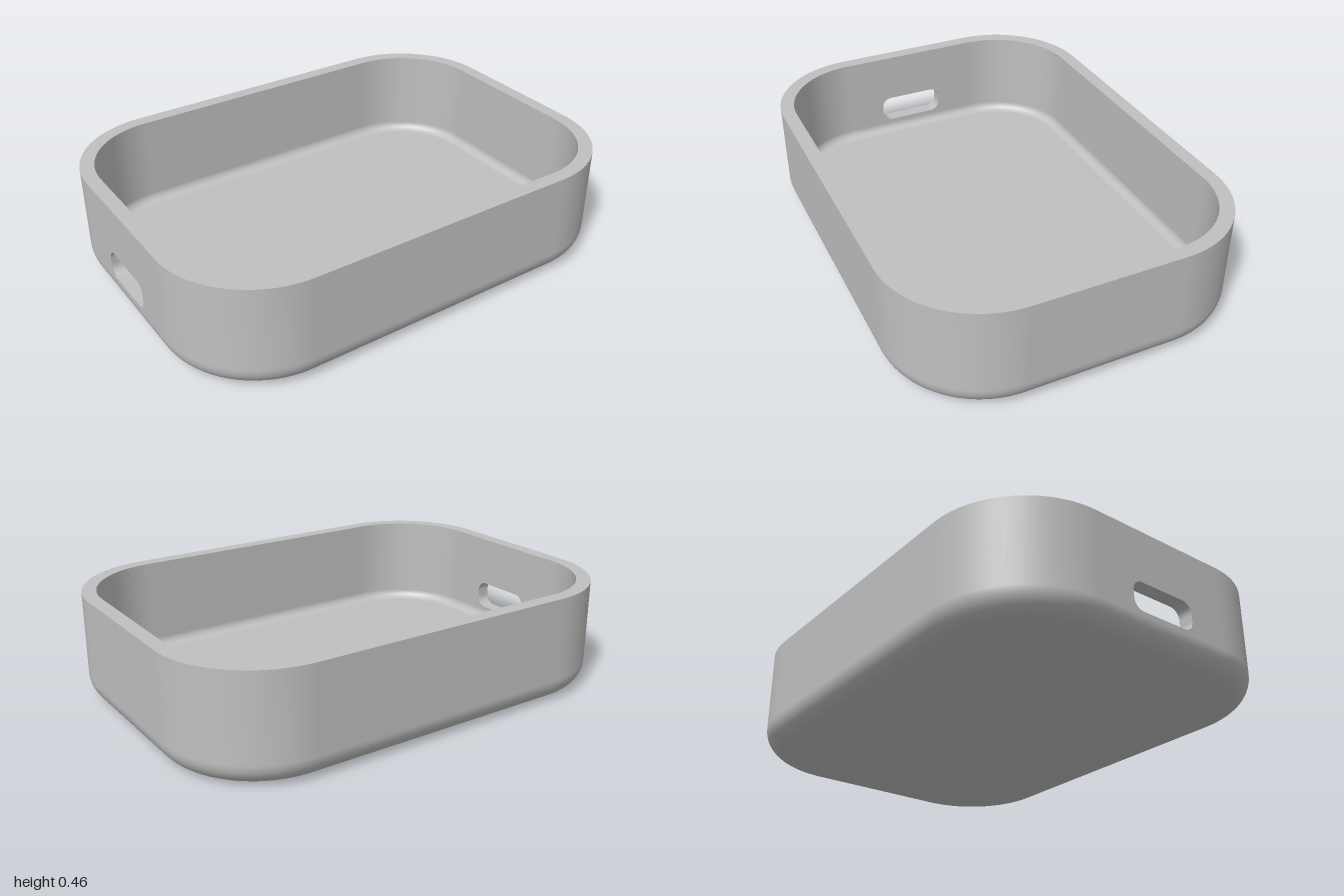
import * as THREE from 'three';
import { toCreasedNormals } from 'three/addons/utils/BufferGeometryUtils.js';

const HALF_X = 1, HALF_Z = 0.725, HEIGHT = 0.457;
const CORNER = 0.41, WALL = 0.06, FILLET = 0.1;
const CORE_X = HALF_X - CORNER, CORE_Z = HALF_Z - CORNER;
const ARC = 20, BEND = 10;

// Rounded-rectangle outline as corner centre plus outward direction
const outline = [];
for (let q = 0; q < 4; q++) {
  const cx = q === 0 || q === 3 ? CORE_X : -CORE_X;
  const cz = q < 2 ? CORE_Z : -CORE_Z;
  for (let k = 0; k <= ARC; k++) {
    const a = (q + k / ARC) * Math.PI / 2;
    outline.push({ cx, cz, nx: Math.cos(a), nz: Math.sin(a) });
  }
}
const GAP = 2 * (ARC + 1) - 1; // straight run of the -x end, filled by the slotted panel

// Sweeps a profile of [inset, y, outward normal, up normal] round the outline
function sweep(profile, skipGap) {
  const pos = [], nor = [], idx = [], m = profile.length, n = outline.length;
  for (const o of outline) {
    for (const [inset, y, out, up] of profile) {
      const r = CORNER - inset;
      pos.push(o.cx + r * o.nx, y, o.cz + r * o.nz);
      nor.push(o.nx * out, up, o.nz * out);
    }
  }
  for (let i = 0; i < n; i++) {
    if (skipGap && i === GAP) continue;
    for (let j = 0; j < m - 1; j++) {
      const a = i * m + j, c = ((i + 1) % n) * m + j;
      idx.push(a, a + 1, c, a + 1, c + 1, c);
    }
  }
  const g = new THREE.BufferGeometry();
  g.setAttribute('position', new THREE.Float32BufferAttribute(pos, 3));
  g.setAttribute('normal', new THREE.Float32BufferAttribute(nor, 3));
  g.setIndex(idx);
  return g;
}

// Quarter-round profile; side = 1 for the outside, -1 for the inside
function fillet(radius, side) {
  const pts = [];
  for (let k = 0; k <= BEND; k++) {
    const t = k / BEND * Math.PI / 2, s = Math.sin(t), c = Math.cos(t);
    pts.push([FILLET - radius * s, FILLET - radius * c, side * s, -side * c]);
  }
  return side > 0 ? pts : pts.reverse();
}

function floorCap(y, up) {
  const r = CORNER - FILLET;
  const shape = new THREE.Shape(outline.map(o => new THREE.Vector2(o.cx + r * o.nx, o.cz + r * o.nz)));
  return new THREE.ShapeGeometry(shape).rotateX(up ? -Math.PI / 2 : Math.PI / 2).translate(0, y, 0);
}

// Straight end wall with a rounded slot through it
function slottedPanel() {
  const shape = new THREE.Shape();
  shape.moveTo(-CORE_Z, FILLET).lineTo(CORE_Z, FILLET).lineTo(CORE_Z, HEIGHT).lineTo(-CORE_Z, HEIGHT).closePath();
  const w = 0.15, h = 0.06, r = 0.045, y = 0.177;
  const slot = new THREE.Path();
  slot.absarc(w - r, y + h - r, r, 0, Math.PI / 2);
  slot.absarc(-w + r, y + h - r, r, Math.PI / 2, Math.PI);
  slot.absarc(-w + r, y - h + r, r, Math.PI, Math.PI * 1.5);
  slot.absarc(w - r, y - h + r, r, Math.PI * 1.5, Math.PI * 2);
  slot.closePath();
  shape.holes.push(slot);
  const g = new THREE.ExtrudeGeometry(shape, { depth: WALL, bevelEnabled: false, curveSegments: 10 });
  g.rotateY(-Math.PI / 2).translate(-HALF_X + WALL, 0, 0);
  return toCreasedNormals(g, 0.6);
}

export function createModel() {
  const group = new THREE.Group();
  group.name = 'tray';
  const grey = new THREE.MeshStandardMaterial({ color: 0xc0c0c0 });
  grey.name = 'light grey';
  const add = (name, geometry) => {
    const mesh = new THREE.Mesh(geometry, grey);
    mesh.name = name;
    group.add(mesh);
  };

  // Outside
  add('outerBottomEdge', sweep(fillet(FILLET, 1), false));
  add('outerWall', sweep([[0, FILLET, 1, 0], [0, HEIGHT, 1, 0]], true));
  add('underside', floorCap(0, false));
  // Rim
  add('rim', sweep([[0, HEIGHT, 0, 1], [WALL, HEIGHT, 0, 1]], true));
  // Inside
  add('innerWall', sweep([[WALL, HEIGHT, -1, 0], [WALL, FILLET, -1, 0]], true));
  add('innerBottomEdge', sweep(fillet(FILLET - WALL, -1), false));
  add('floor', floorCap(WALL, true));
  // End with slot
  add('slottedEndWall', slottedPanel());

  return group;
}
